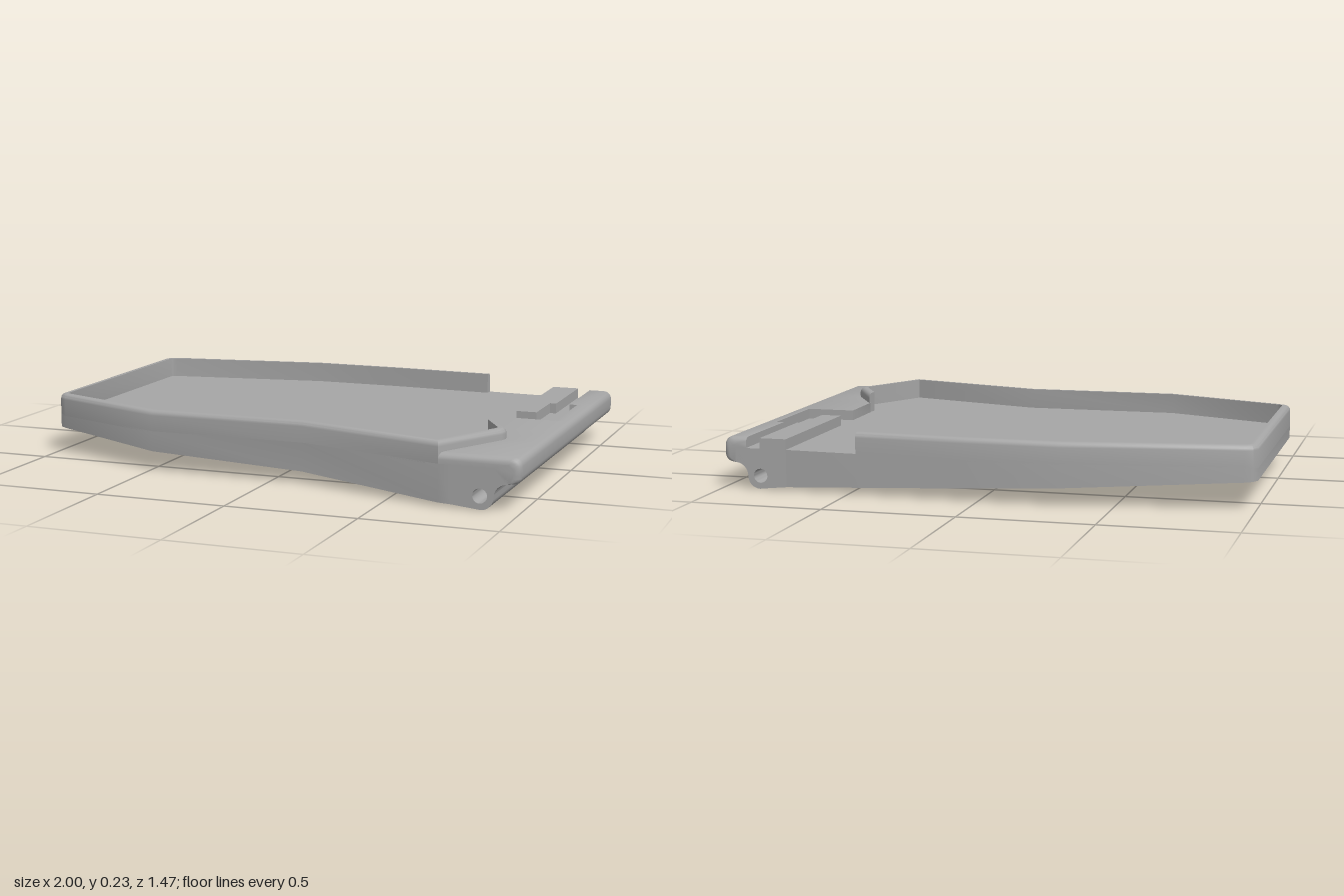
import * as THREE from 'three';
import { toCreasedNormals } from 'three/addons/utils/BufferGeometryUtils.js';

const FLOOR = 0.155, DECK = 0.195, RIM = 0.235;
const BACK = -0.705, FRONT = 0.735, WALL = 0.032;

// Skin a series of closed rings; profiles run counter-clockwise, and cap both ends.
function loft(rings, startProfile, endProfile) {
  const pos = [];
  const tri = (a, b, c) => pos.push(...a, ...b, ...c);
  for (let i = 0; i < rings.length - 1; i++) {
    const n = rings[i].length;
    for (let j = 0; j < n; j++) {
      const k = (j + 1) % n;
      tri(rings[i][j], rings[i][k], rings[i + 1][k]);
      tri(rings[i][j], rings[i + 1][k], rings[i + 1][j]);
    }
  }
  const cap = (ring, profile, flip) => {
    const pts = profile.map(p => new THREE.Vector2(p[0], p[1]));
    for (const [a, b, c] of THREE.ShapeUtils.triangulateShape(pts, [])) {
      if (flip) tri(ring[a], ring[c], ring[b]);
      else tri(ring[a], ring[b], ring[c]);
    }
  };
  cap(rings[0], startProfile, true);
  cap(rings[rings.length - 1], endProfile, false);
  const g = new THREE.BufferGeometry();
  g.setAttribute('position', new THREE.Float32BufferAttribute(pos, 3));
  return toCreasedNormals(g, 0.6);
}

// Tray base: plan outline with a bottom that slopes down towards the hinge
function baseGeometry(wallOuter) {
  const plan = [...wallOuter, [0.75, FRONT], [0.75, BACK]];
  const shape = new THREE.Shape(plan.map(p => new THREE.Vector2(p[0], -p[1])));
  const g = new THREE.ExtrudeGeometry(shape, { depth: FLOOR, bevelEnabled: false });
  g.rotateX(-Math.PI / 2);
  const p = g.attributes.position;
  for (let i = 0; i < p.count; i++) {
    if (p.getY(i) < 0.01) p.setY(i, 0.052 - 0.0514 * p.getX(i));
  }
  return toCreasedNormals(g, 0.5);
}

// Raised rim: the path is offset inwards with mitred corners
function rimGeometry(path) {
  const normal = (a, b) => {
    const dx = b[0] - a[0], dz = b[1] - a[1], l = Math.hypot(dx, dz);
    return [dz / l, -dx / l];
  };
  const inner = path.map((p, i) => {
    const n1 = normal(path[Math.max(i - 1, 0)], path[Math.max(i, 1)]);
    const last = path.length - 1;
    const n2 = normal(path[Math.min(i, last - 1)], path[Math.min(i + 1, last)]);
    const s = WALL / (1 + n1[0] * n2[0] + n1[1] * n2[1]);
    return [p[0] + (n1[0] + n2[0]) * s, p[1] + (n1[1] + n2[1]) * s];
  });
  inner[inner.length - 1] = [0.75, 0.285];
  const profile = [[0, FLOOR - 0.005], [1, FLOOR - 0.005], [1, RIM]];
  for (let k = 0; k <= 4; k++) {
    const a = k * Math.PI / 8;
    profile.push([0.6 * (1 - Math.sin(a)), RIM - 0.02 * (1 - Math.cos(a))]);
  }
  const rings = path.map((p, i) => profile.map(([t, y]) =>
    [p[0] + (inner[i][0] - p[0]) * t, y, p[1] + (inner[i][1] - p[1]) * t]));
  return loft(rings, profile, profile);
}

// Hinge barrel with a pin hole and a concave hollow under the lip
function hingeGeometry() {
  const s = new THREE.Shape();
  s.moveTo(0.75, FLOOR);
  s.lineTo(0.75, 0.0135);
  s.lineTo(0.85, 0.003);
  s.absarc(0.855, 0.05, 0.048, -Math.PI / 2, 0, false);
  s.absarc(0.953, 0.05, 0.05, Math.PI, Math.PI / 2, true);
  s.lineTo(0.953, FLOOR);
  const hole = new THREE.Path();
  hole.absarc(0.853, 0.052, 0.027, 0, Math.PI * 2, true);
  s.holes.push(hole);
  const g = new THREE.ExtrudeGeometry(s, { depth: FRONT - BACK, bevelEnabled: false, curveSegments: 12 });
  g.translate(0, 0, BACK);
  return toCreasedNormals(g, 0.6);
}

// Lip and front deck: rounded bar whose inner edge steps along z
function deckGeometry() {
  const r = 0.025;
  const profile = (left, inset) => {
    const pts = [[0.9, 0.1]];
    for (let k = 0; k <= 5; k++) {
      const a = -Math.PI / 2 + k * Math.PI / 10;
      pts.push([0.97 + 0.03 * Math.cos(a) - inset, 0.13 + 0.03 * Math.sin(a)]);
    }
    for (let k = 0; k <= 5; k++) {
      const a = k * Math.PI / 10;
      pts.push([0.97 + 0.03 * Math.cos(a) - inset, DECK - 0.03 + 0.03 * Math.sin(a) - inset]);
    }
    pts.push([left, DECK - inset], [left, FLOOR], [0.9, FLOOR]);
    return pts;
  };
  const slices = [];
  const steps = [0, 1, 2, 3, 4].map(k => k * Math.PI / 8);
  for (const a of steps) slices.push([BACK + r * (1 - Math.cos(a)), 0.91, r * (1 - Math.sin(a))]);
  slices.push([-0.33, 0.91, 0], [-0.33, 0.94, 0], [0.02, 0.94, 0], [0.02, 0.75, 0],
    [0.24, 0.752, 0], [0.43, 0.842, 0]);
  for (const a of steps.reverse()) {
    const z = FRONT - r * (1 - Math.cos(a));
    slices.push([z, 0.70 + 0.475 * (FRONT - z), r * (1 - Math.sin(a))]);
  }
  const profiles = slices.map(s => profile(s[1], s[2]));
  const rings = profiles.map((p, i) => p.map(([x, y]) => [x, y, slices[i][0]]));
  return loft(rings, profiles[0], profiles[profiles.length - 1]);
}

export function createModel() {
  const group = new THREE.Group();
  const grey = new THREE.MeshStandardMaterial({ color: 0xa6a6a6 });
  grey.name = 'grey';
  const add = (name, geometry) => {
    const m = new THREE.Mesh(geometry, grey);
    m.name = name;
    group.add(m);
    return m;
  };

  // Outer edge from the back, around the left end, to the front corner
  const outer = [
    [0.47, -0.718], [0.05, -0.735], [-0.3, -0.735], [-0.955, -0.63], [-0.985, -0.618], [-1, -0.59],
    [-1, 0.355], [-0.988, 0.38], [-0.96, 0.397], [-0.49, 0.575], [0.12, 0.568], [0.70, FRONT],
  ];
  add('trayBase', baseGeometry(outer));
  add('trayRim', rimGeometry([...outer, [0.85, 0.45], [0.857, 0.425], [0.853, 0.40], [0.755, 0.235]]));
  add('hinge', hingeGeometry());
  add('lipAndDeck', deckGeometry());

  // Ridge beside the slot, narrower at its front part
  for (const [name, right, z0, z1] of [
    ['ridgeBack', 0.855, BACK, -0.33], ['ridgeFront', 0.83, -0.33, -0.12]]) {
    const h = DECK - FLOOR + 0.01;
    add(name, new THREE.BoxGeometry(right - 0.75, h, z1 - z0))
      .position.set((right + 0.75) / 2, DECK - h / 2, (z0 + z1) / 2);
  }
  return group;
}
